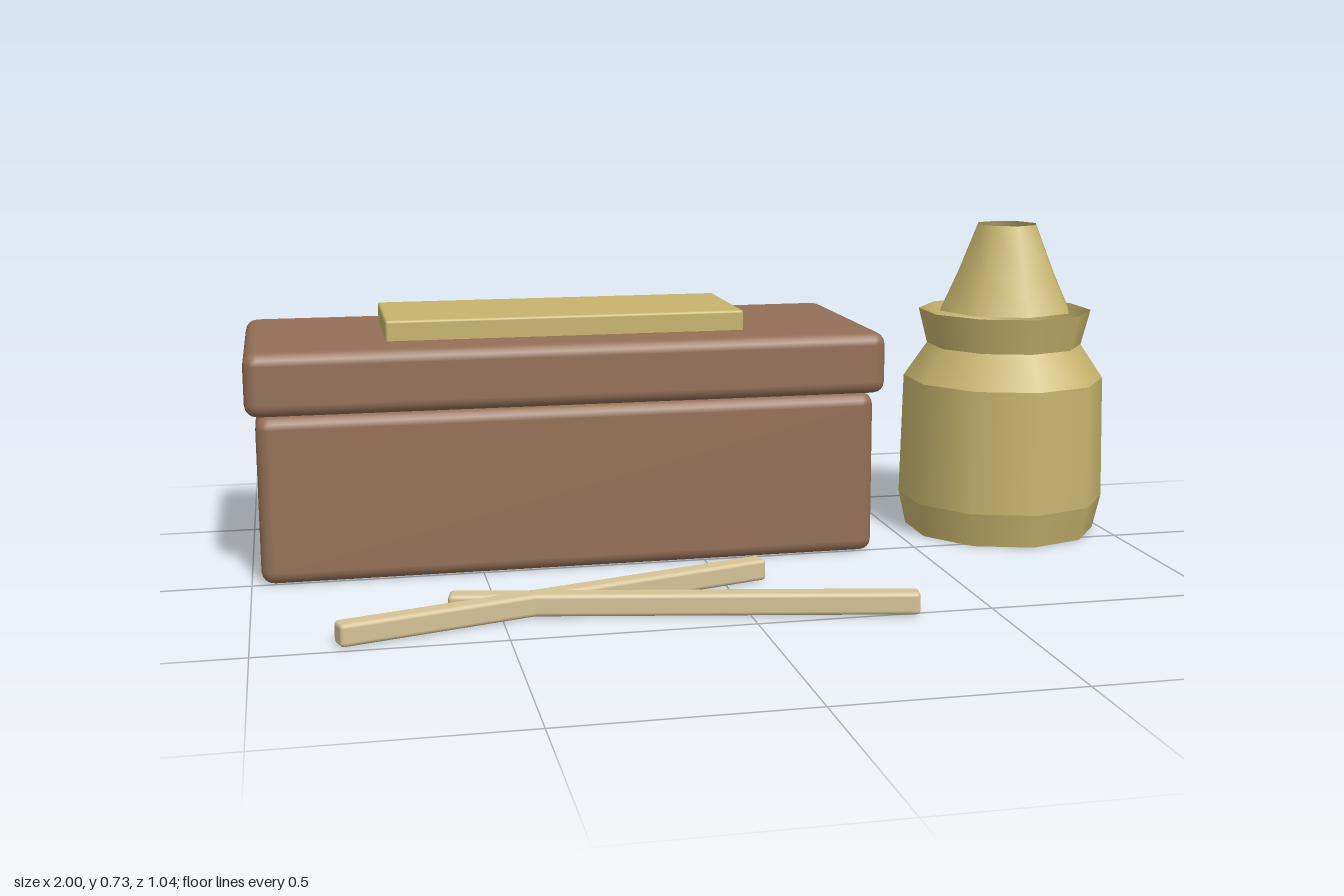
import * as THREE from 'three';
import { RoundedBoxGeometry } from 'three/addons/geometries/RoundedBoxGeometry.js';

export function createModel() {
  const model = new THREE.Group();
  model.name = 'boxBottleAndSticks';

  const wood = new THREE.MeshStandardMaterial({ color: 0x936f56 });
  wood.name = 'brown wood';
  const brass = new THREE.MeshStandardMaterial({ color: 0xc8b46e, side: THREE.DoubleSide });
  brass.name = 'pale brass';
  const paleWood = new THREE.MeshStandardMaterial({ color: 0xd6c297 });
  paleWood.name = 'pale wood';

  const add = (parent, name, geometry, material, x = 0, y = 0, z = 0) => {
    const mesh = new THREE.Mesh(geometry, material);
    mesh.name = name;
    mesh.position.set(x, y, z);
    parent.add(mesh);
    return mesh;
  };
  const roundedBox = (w, h, d, r) => new RoundedBoxGeometry(w, h, d, 2, r);

  // Lidded box with a plate on top
  const box = new THREE.Group();
  box.name = 'box';
  box.position.set(-0.292, 0, -0.245);
  model.add(box);
  add(box, 'boxBody', roundedBox(1.374, 0.37, 0.52, 0.028), wood, 0, 0.185);
  add(box, 'boxLid', roundedBox(1.416, 0.14, 0.56, 0.028), wood, 0, 0.441);
  add(box, 'lidPlate', roundedBox(0.805, 0.06, 0.32, 0.006), brass, 0, 0.526);

  // Open bottle: every band keeps a sharp edge to the next one
  const bottle = new THREE.Group();
  bottle.name = 'bottle';
  bottle.position.set(0.769, 0, -0.16);
  model.add(bottle);
  const band = (name, sides, ...profile) => add(bottle, name,
    new THREE.LatheGeometry(profile.map(([r, y]) => new THREE.Vector2(r, y)), sides), brass);
  band('bottleFoot', 10, [0.225, 0], [0.243, 0.08]);
  band('bottleBody', 10, [0.243, 0.08], [0.236, 0.367]);
  band('bottleShoulder', 10, [0.236, 0.367], [0.182, 0.447]);
  band('bottleCollar', 10, [0.182, 0.447], [0.203, 0.53]);
  band('bottleSpout', 8, [0.162, 0.53], [0.124, 0.61], [0.073, 0.733]);

  // Two crossed sticks on the ground
  const sticks = [['firstStick', -0.372, 0.321, 0.303], ['secondStick', -0.13, 0.402, -0.2]];
  for (const [name, x, z, turn] of sticks) {
    add(model, name, roundedBox(0.965, 0.047, 0.045, 0.009), paleWood, x, 0.0245, z).rotation.y = turn;
  }

  return model;
}
